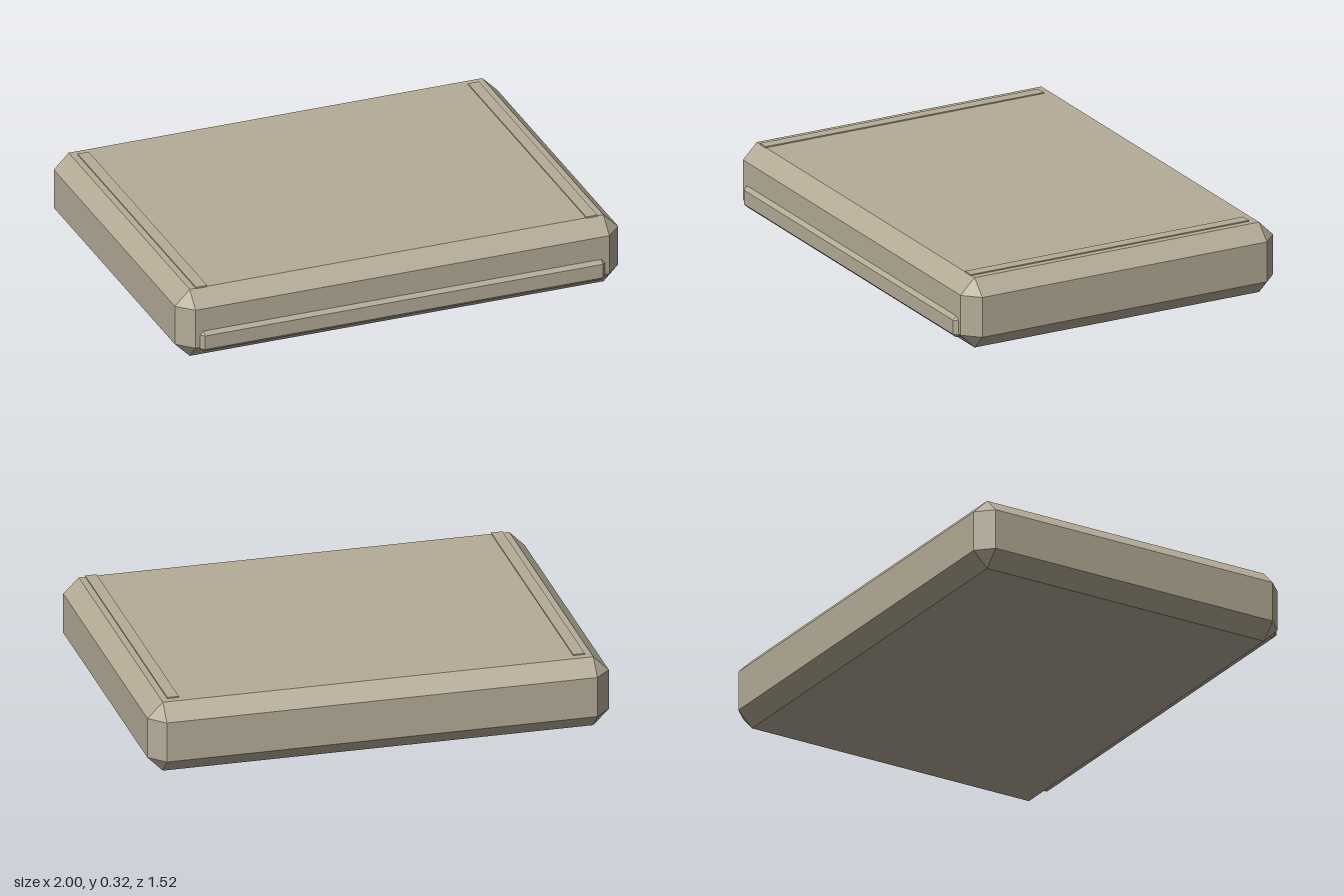
import * as THREE from 'three';
import { ConvexGeometry } from 'three/addons/geometries/ConvexGeometry.js';

// Box with every edge cut at 45 degrees: each corner becomes a small triangle
function chamferedBox(min, max, c) {
  const points = [];
  for (let corner = 0; corner < 8; corner++) {
    for (let axis = 0; axis < 3; axis++) {
      // on the face of this axis the other two coordinates are pulled in
      points.push(new THREE.Vector3(...[0, 1, 2].map((i) => {
        const high = (corner >> i) & 1;
        const inset = i === axis ? 0 : c;
        return high ? max[i] - inset : min[i] + inset;
      })));
    }
  }
  return new ConvexGeometry(points);
}

export function createModel() {
  const group = new THREE.Group();
  const casing = new THREE.MeshStandardMaterial({ color: 0xb5ac97, flatShading: true });
  casing.name = 'beige casing';

  const add = (name, geometry) => {
    const mesh = new THREE.Mesh(geometry, casing);
    mesh.name = name;
    group.add(mesh);
    return mesh;
  };

  // Main slab
  add('body', chamferedBox([-1, 0, -0.758], [1, 0.312, 0.742], 0.067));

  // Raised bar low on the front
  add('frontBar', chamferedBox([-0.913, 0.046, 0.7], [0.913, 0.141, 0.758], 0.016));

  // Shallow strips along both sides of the top
  for (const side of [1, -1]) {
    const rail = add(side > 0 ? 'leftTopRail' : 'rightTopRail', new THREE.BoxGeometry(0.05, 0.009, 1.335));
    rail.position.set(side * 0.88, 0.3125, 0.009);
  }

  return group;
}
